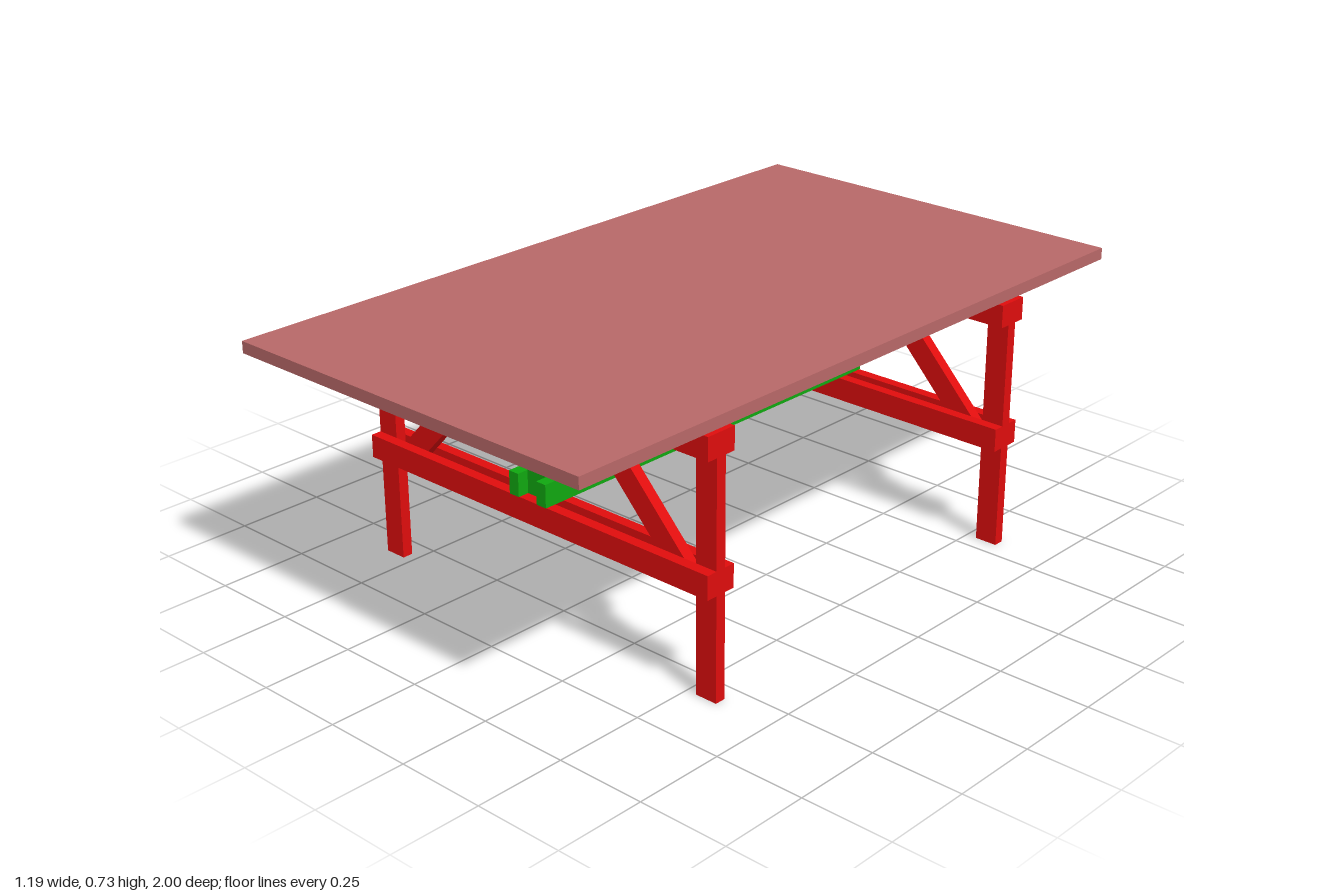
import * as THREE from 'three';

const red = new THREE.MeshStandardMaterial({ color: 0xe00d0d });
const green = new THREE.MeshStandardMaterial({ color: 0x10a810 });
const rose = new THREE.MeshStandardMaterial({ color: 0xb86868 });

// Box given by its [min, max] range on each axis
function beam(name, material, [x0, x1], [y0, y1], [z0, z1]) {
  const mesh = new THREE.Mesh(new THREE.BoxGeometry(x1 - x0, y1 - y0, z1 - z0), material);
  mesh.position.set((x0 + x1) / 2, (y0 + y1) / 2, (z0 + z1) / 2);
  mesh.name = name;
  return mesh;
}

// Flat board cut to an outline, centred on its thickness
function board(name, material, points, thickness) {
  const shape = new THREE.Shape(points.map(([x, y]) => new THREE.Vector2(x, y)));
  const geometry = new THREE.ExtrudeGeometry(shape, { depth: thickness, bevelEnabled: false });
  geometry.translate(0, 0, -thickness / 2);
  const mesh = new THREE.Mesh(geometry, material);
  mesh.name = name;
  return mesh;
}

const T = 0.03; // board thickness
const LOW = [0.286, 0.35], HIGH = [0.636, 0.698]; // trestle rail heights

function createTrestle() {
  const trestle = new THREE.Group();
  trestle.name = 'trestle';
  const core = [-T / 2, T / 2];
  for (const s of [-1, 1]) {
    // Leg
    const legX = s < 0 ? [-0.594, -0.53] : [0.53, 0.594];
    trestle.add(beam('leg', red, legX, [0, 0.698], core));
    // Pair of rails clamping the legs on this face
    const railZ = s < 0 ? [-1.5 * T, -T / 2] : [T / 2, 1.5 * T];
    trestle.add(beam('lowerRail', red, [-0.594, 0.594], LOW, railZ));
    trestle.add(beam('upperRail', red, [-0.594, 0.594], HIGH, railZ));
    // Diagonal brace between the rails
    const outline = [[0.53, 0.286], [0.53, 0.311], [0.16, 0.698], [0.072, 0.698], [0.466, 0.286]];
    trestle.add(board('diagonalBrace', red, outline.map(([x, y]) => [s * x, y]), T));
  }
  // Centre post that carries the stretcher
  trestle.add(beam('centrePost', green, [-0.032, 0.032], [0.286, 0.698], core));
  return trestle;
}

function createStretcher() {
  const stretcher = new THREE.Group();
  stretcher.name = 'stretcher';
  // Doubled long rails
  for (const x of [[-0.064, -0.032], [0.032, 0.064]]) {
    stretcher.add(beam('lowerStretcherRail', green, x, [0.35, 0.413], [-0.612, 0.612]));
    stretcher.add(beam('upperStretcherRail', green, x, [0.54, 0.602], [-0.612, 0.612]));
  }
  // Spacer posts
  for (const z of [0.264, -0.012, -0.288]) {
    stretcher.add(beam('spacerPost', green, [-0.032, 0.032], [0.35, 0.602], [z - T / 2, z + T / 2]));
  }
  // Single diagonal at the back, outlined in z and y
  const strut = board('stretcherBrace', green,
    [[-0.55, 0.35], [-0.525, 0.35], [-0.303, 0.585], [-0.303, 0.602], [-0.33, 0.602], [-0.55, 0.37]], 0.064);
  strut.rotation.y = -Math.PI / 2;
  stretcher.add(strut);
  return stretcher;
}

export function createModel() {
  const table = new THREE.Group();
  table.name = 'trestleTable';
  table.add(beam('tableTop', rose, [-0.58, 0.58], [0.698, 0.73], [-1, 1]));
  for (const z of [-0.565, 0.565]) {
    const trestle = createTrestle();
    trestle.position.z = z;
    table.add(trestle);
  }
  table.add(createStretcher());
  return table;
}
